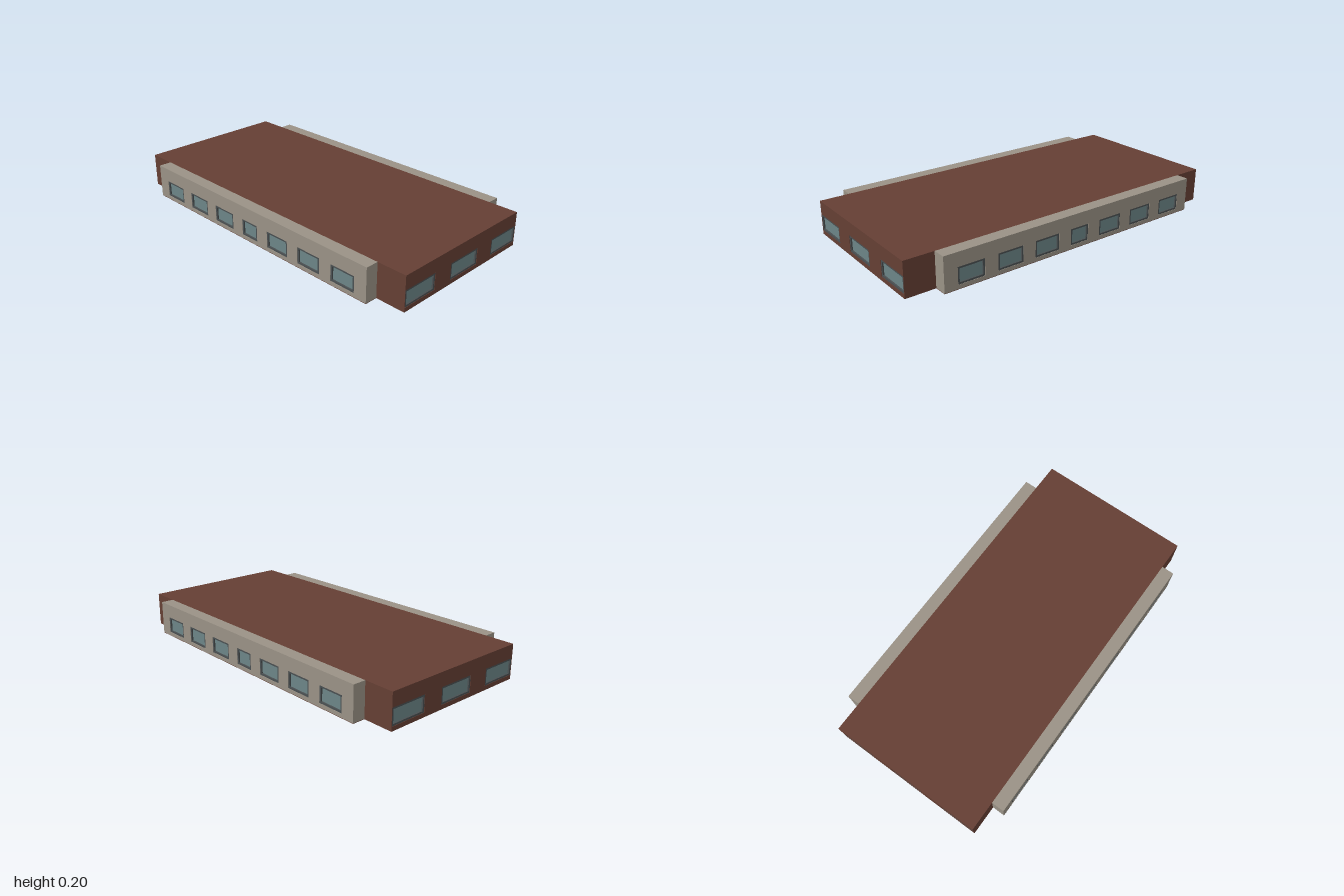
import * as THREE from 'three';

const H = 0.195, BASE = 0.003, WALL = 0.02;
const WIN_LOW = 0.024, WIN_HIGH = 0.117, FRAME = 0.01;

const mat = (color) => new THREE.MeshStandardMaterial({ color });
const brick = mat(0x653f34), stone = mat(0x9a9286), frameMat = mat(0x4a5052), glassMat = mat(0x6c8587);

function add(parent, name, geometry, material, x = 0, y = 0, z = 0) {
  const mesh = new THREE.Mesh(geometry, material);
  mesh.name = name;
  mesh.position.set(x, y, z);
  parent.add(mesh);
  return mesh;
}

// Traces a rectangle on a Shape or Path
function rect(path, x0, y0, x1, y1) {
  return path.moveTo(x0, y0).lineTo(x1, y0).lineTo(x1, y1).lineTo(x0, y1).closePath();
}

const extrude = (shape, depth) => new THREE.ExtrudeGeometry(shape, { depth, bevelEnabled: false });

// Wall facing +z with its outer face at z = 0; windows are [centre, half width]
function windowWall(name, halfWidth, windows, material) {
  const group = new THREE.Group();
  group.name = name;
  const wall = rect(new THREE.Shape(), -halfWidth, BASE, halfWidth, H);
  for (const [c, w] of windows) {
    wall.holes.push(rect(new THREE.Path(), c - w, WIN_LOW, c + w, WIN_HIGH));
    const ring = rect(new THREE.Shape(), c - w, WIN_LOW, c + w, WIN_HIGH);
    ring.holes.push(rect(new THREE.Path(), c - w + FRAME, WIN_LOW + FRAME, c + w - FRAME, WIN_HIGH - FRAME));
    add(group, 'windowFrame', extrude(ring, WALL - 0.002), frameMat, 0, 0, -WALL);
    const pane = new THREE.BoxGeometry(2 * (w - FRAME), WIN_HIGH - WIN_LOW - 2 * FRAME, 0.008);
    add(group, 'windowGlass', pane, glassMat, c, (WIN_LOW + WIN_HIGH) / 2, -WALL + 0.006);
  }
  add(group, 'wallPanel', extrude(wall, WALL), material, 0, 0, -WALL);
  return group;
}

export function createModel() {
  const model = new THREE.Group();
  model.name = 'building';
  const midY = (H + BASE) / 2, tall = H - BASE;

  // Main block between the two end walls
  add(model, 'mainBlock', new THREE.BoxGeometry(2 - 2 * WALL, tall, 0.9), brick, 0, midY, 0);

  const endWindows = [-0.339, 0, 0.339].map((c) => [c, 0.109]);
  const bayWindows = [-0.679, -0.447, -0.217, 0, 0.217, 0.447, 0.679].map((c) => [c, c ? 0.077 : 0.06]);

  for (const s of [1, -1]) {
    // End walls
    const end = windowWall('endWall', 0.45, endWindows, brick);
    end.rotation.y = s * Math.PI / 2;
    end.position.x = s;
    model.add(end);

    // Long projecting bays, front and back
    const depth = 0.523 - WALL - 0.45;
    add(model, 'bayBody', new THREE.BoxGeometry(1.664, tall, depth), stone, 0, midY, s * (0.45 + depth / 2));
    const bay = windowWall('bayWall', 0.832, bayWindows, stone);
    bay.rotation.y = s > 0 ? 0 : Math.PI;
    bay.position.z = s * 0.523;
    model.add(bay);

    // Small plates under the left end
    add(model, 'floorPlate', new THREE.BoxGeometry(0.08, 0.002, 0.19), frameMat, -0.9, 0.001, s * 0.28);
  }

  // Floor slab under the block and both bays
  const slab = new THREE.Shape([
    [-1, -0.45], [-0.832, -0.45], [-0.832, -0.523], [0.832, -0.523], [0.832, -0.45], [1, -0.45],
    [1, 0.45], [0.832, 0.45], [0.832, 0.523], [-0.832, 0.523], [-0.832, 0.45], [-1, 0.45],
  ].map(([x, y]) => new THREE.Vector2(x, y)));
  add(model, 'floorSlab', extrude(slab, BASE - 0.0005), brick, 0, BASE, 0).rotation.x = Math.PI / 2;

  return model;
}
